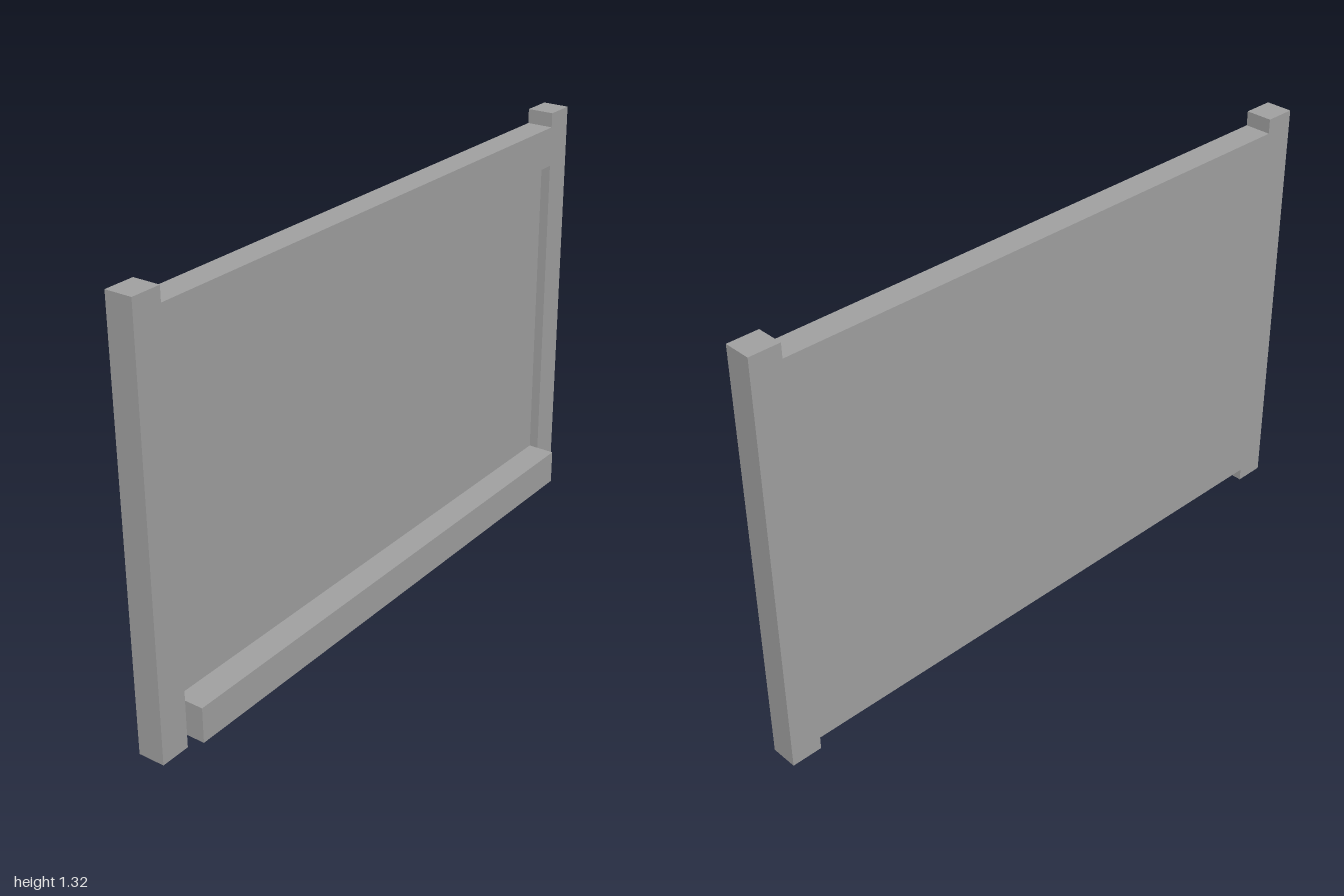
import * as THREE from 'three';

export function createModel() {
  const group = new THREE.Group();
  const grey = new THREE.MeshStandardMaterial({ color: 0xa0a0a0 });
  grey.name = 'grey';

  // Box given by its extents on each axis
  const box = (name, [x0, x1], [y0, y1], [z0, z1]) => {
    const mesh = new THREE.Mesh(new THREE.BoxGeometry(x1 - x0, y1 - y0, z1 - z0), grey);
    mesh.position.set((x0 + x1) / 2, (y0 + y1) / 2, (z0 + z1) / 2);
    mesh.name = name;
    group.add(mesh);
  };

  const inner = 0.904, back = -0.072, face = 0.013, recess = -0.017, front = 0.072;
  const bottom = 0.04, ledgeTop = 0.15, railBottom = 1.15, railTop = 1.275, postTop = 1.32;

  // Side posts, standing proud at top and bottom
  box('leftPost', [inner, 1], [0, postTop], [back, face]);
  box('rightPost', [-1, -inner], [0, postTop], [back, face]);

  // Recessed board, flush with the posts at the back
  box('backPanel', [-inner, inner], [bottom, railTop], [back, recess]);

  // Top rail flush with the posts, and the ledge projecting in front of them
  box('topRail', [-inner, inner], [railBottom, railTop], [recess, face]);
  box('ledge', [-inner, inner], [bottom, ledgeTop], [recess, front]);

  return group;
}
